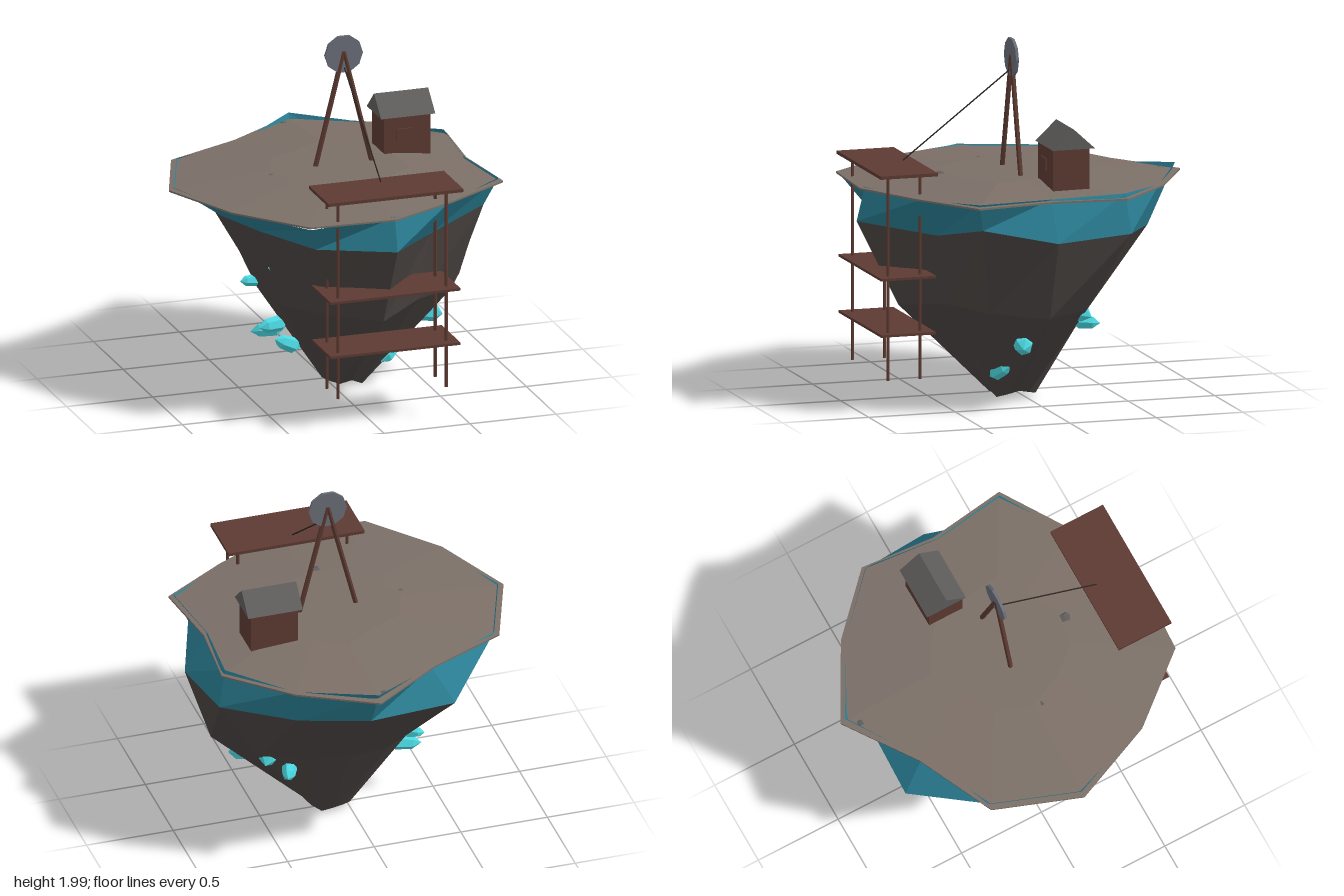
import * as THREE from 'three';

const CX = 0.1, CZ = 0.04, SIDES = 12;

function mat(name, color, side = THREE.FrontSide) {
  return new THREE.MeshStandardMaterial({ name, color, side });
}

// Split every face so that its normal is flat
function flat(geo) {
  const g = geo.index ? geo.toNonIndexed() : geo;
  g.computeVertexNormals();
  return g;
}

// Ring of points round the island axis, one radius and height per side
function ring(radii, heights, scale = 1) {
  return Array.from({ length: SIDES }, (_, i) => {
    const a = (i / SIDES) * Math.PI * 2;
    const r = (Array.isArray(radii) ? radii[i] : radii) * scale;
    const y = Array.isArray(heights) ? heights[i] : heights;
    return [CX + r * Math.cos(a), y, CZ + r * Math.sin(a)];
  });
}

// Joins rings, listed along the surface from bottom to top
function loft(rings) {
  const idx = [];
  for (let k = 0; k < rings.length - 1; k++) {
    for (let i = 0; i < SIDES; i++) {
      const j = (i + 1) % SIDES;
      const a = k * SIDES + i, b = k * SIDES + j, d = a + SIDES, c = b + SIDES;
      idx.push(a, d, b, b, d, c);
    }
  }
  const geo = new THREE.BufferGeometry();
  geo.setAttribute('position', new THREE.Float32BufferAttribute(rings.flat(2), 3));
  geo.setIndex(idx);
  return flat(geo);
}

export function createModel() {
  const model = new THREE.Group();
  const rock = mat('darkRock', 0x4a4442);
  const teal = mat('tealEarth', 0x2a7d92, THREE.DoubleSide);
  const ground = mat('ground', 0x7b6f67);
  const wood = mat('wood', 0x5c3a31);
  const roofGrey = mat('roofSlate', 0x5e5d5c);
  const metal = mat('wheelMetal', 0x6a6d77);
  const ropeDark = mat('rope', 0x2a2422);
  const crystalBlue = mat('crystal', 0x4bd6df);

  function add(name, geo, material, x = 0, y = 0, z = 0, parent = model) {
    const m = new THREE.Mesh(geo, material);
    m.name = name;
    m.position.set(x, y, z);
    parent.add(m);
    return m;
  }
  const box = (name, w, h, d, material, x, y, z, parent) =>
    add(name, new THREE.BoxGeometry(w, h, d), material, x, y, z, parent);

  // Straight round bar between two points
  function bar(name, from, to, radius, material, sides = 6, parent = model) {
    const a = new THREE.Vector3(...from), b = new THREE.Vector3(...to);
    const dir = b.clone().sub(a);
    const geo = flat(new THREE.CylinderGeometry(radius, radius, dir.length(), sides));
    const m = add(name, geo, material, 0, 0, 0, parent);
    m.position.copy(a).add(b).multiplyScalar(0.5);
    m.quaternion.setFromUnitVectors(new THREE.Vector3(0, 1, 0), dir.normalize());
  }

  // Island: rings start at +x and go round through +z
  const rimR = [0.71, 0.89, 0.79, 0.88, 0.99, 0.945, 1.02, 0.97, 0.8, 0.97, 0.85, 0.86];
  const tealTopY = [1.225, 1.23, 1.205, 1.22, 1.19, 1.205, 1.225, 1.225, 1.2, 1.25, 1.215, 1.24];
  const shoulder = ring(
    [0.82, 0.78, 0.62, 0.9, 0.82, 0.72, 0.71, 0.78, 0.95, 0.8, 0.76, 0.88],
    [1, 1.07, 0.985, 1.03, 1.03, 1.05, 1.03, 1.02, 1.04, 1, 0.99, 1.02]);
  const waist = ring(
    [0.67, 0.6, 0.54, 0.66, 0.6, 0.53, 0.51, 0.5, 0.45, 0.4, 0.44, 0.55],
    [0.55, 0.57, 0.59, 0.55, 0.58, 0.57, 0.6, 0.57, 0.54, 0.53, 0.54, 0.55]);
  const foot = ring(0.13, [0.05, 0.03, 0.01, 0.04, 0.02, 0.03, 0.03, 0.02, 0.04, 0.04, 0.02, 0.04]);
  add('rockBody', loft([ring(0, 0.03), foot, waist, shoulder]), rock);
  add('tealBand', loft([shoulder, ring(rimR, tealTopY, 0.97)]), teal);
  add('groundTop', loft([
    ring(0, 1.205), ring(rimR, 1.205), ring(rimR, 1.215), ring(rimR, 1.262, 0.42), ring(0, 1.262),
  ]), ground);

  // Flat stones set in the ground
  [[0.04, 1.25, 0.44, 0.038], [-0.34, 1.25, 0.09, 0.025], [-0.2, 1.248, 0.325, 0.025], [0.05, 1.212, -0.83, 0.028]]
    .forEach(([x, y, z, r]) => {
      add('stone', new THREE.DodecahedronGeometry(r), roofGrey, x, y, z).scale.y = 0.5;
    });

  // Hoist: two legs, wheel and rope
  const hoist = new THREE.Group();
  hoist.name = 'hoist';
  model.add(hoist);
  for (const s of [-1, 1]) {
    bar('hoistLeg', [0.095 + s * 0.17, 1.23, 0.043], [0.095, 1.91, 0.043], 0.014, wood, 6, hoist);
  }
  const wheelGeo = new THREE.CylinderGeometry(0.11, 0.11, 0.016, 10);
  wheelGeo.rotateY(Math.PI / 2).rotateX(Math.PI / 2);
  add('hoistWheel', flat(wheelGeo), metal, 0.095, 1.895, 0.043, hoist);
  bar('hoistRope', [0.095, 1.82, 0.06], [0.095, 1.355, 0.67], 0.004, ropeDark, 5, hoist);

  // Hut with gabled roof
  const hut = new THREE.Group();
  hut.name = 'hut';
  model.add(hut);
  box('hutWalls', 0.27, 0.27, 0.21, wood, 0.49, 1.335, -0.13, hut);
  box('hutHatch', 0.09, 0.07, 0.012, wood, 0.47, 1.365, -0.022, hut);
  const gable = new THREE.Shape();
  gable.moveTo(-0.122, 0).lineTo(0.122, 0).lineTo(0, 0.112).closePath();
  const roofGeo = new THREE.ExtrudeGeometry(gable, { depth: 0.315, bevelEnabled: false });
  roofGeo.translate(0, 0, -0.1575).rotateY(Math.PI / 2);
  add('hutRoof', roofGeo, roofGrey, 0.492, 1.468, -0.138, hut);

  // Scaffold: three decks on four posts
  const scaffold = new THREE.Group();
  scaffold.name = 'scaffold';
  model.add(scaffold);
  [[1.342, 0.785, 0.33, 0.018], [0.767, 0.755, 0.315, 0.014], [0.452, 0.755, 0.315, 0.014]]
    .forEach(([y, w, d, h]) => box('scaffoldDeck', w, h, d, wood, 0.095, y, 0.761, scaffold));
  for (const x of [-0.22, 0.41]) {
    for (const z of [0.675, 0.86]) {
      bar('scaffoldPost', [x, 0.19, z], [x, 1.335, z], 0.009, wood, 6, scaffold);
    }
  }

  // Crystals: position, direction, length, radius
  const crystals = [
    [[-0.39, 0.795, 0.33], [-1, 0.25, 0.3], 0.13, 0.03],
    [[-0.45, 0.645, 0.06], [-1, 0.1, 0.2], 0.14, 0.033],
    [[-0.32, 0.375, 0.06], [-1, 0, 0.3], 0.2, 0.045],
    [[-0.33, 0.33, 0], [-1, -0.1, -0.2], 0.2, 0.045],
    [[-0.25, 0.27, 0.1], [-1, 0.5, 0.3], 0.19, 0.045],
    [[0.56, 0.375, 0.125], [1, -0.2, 0.3], 0.16, 0.057],
    [[0.315, 0.185, 0.18], [0.8, 0.5, -0.5], 0.17, 0.04],
    [[0.51, 0.535, -0.2], [0.5, -0.35, -0.8], 0.18, 0.055],
    [[0.42, 0.45, -0.28], [0.4, -0.05, -1], 0.16, 0.042],
    [[0.8, 0.825, -0.12], [1, 0.1, -0.2], 0.07, 0.018],
    [[-0.27, 0.62, -0.36], [-0.8, 0.1, -0.5], 0.13, 0.033],
  ];
  for (const [p, d, len, r] of crystals) {
    const profile = [[0, -0.5], [r, -0.22], [r * 0.85, 0.25], [0, 0.5]]
      .map(([x, y]) => new THREE.Vector2(x, y * len));
    const m = add('crystal', flat(new THREE.LatheGeometry(profile, 6)), crystalBlue, ...p);
    m.quaternion.setFromUnitVectors(new THREE.Vector3(0, 1, 0), new THREE.Vector3(...d).normalize());
  }

  return model;
}
